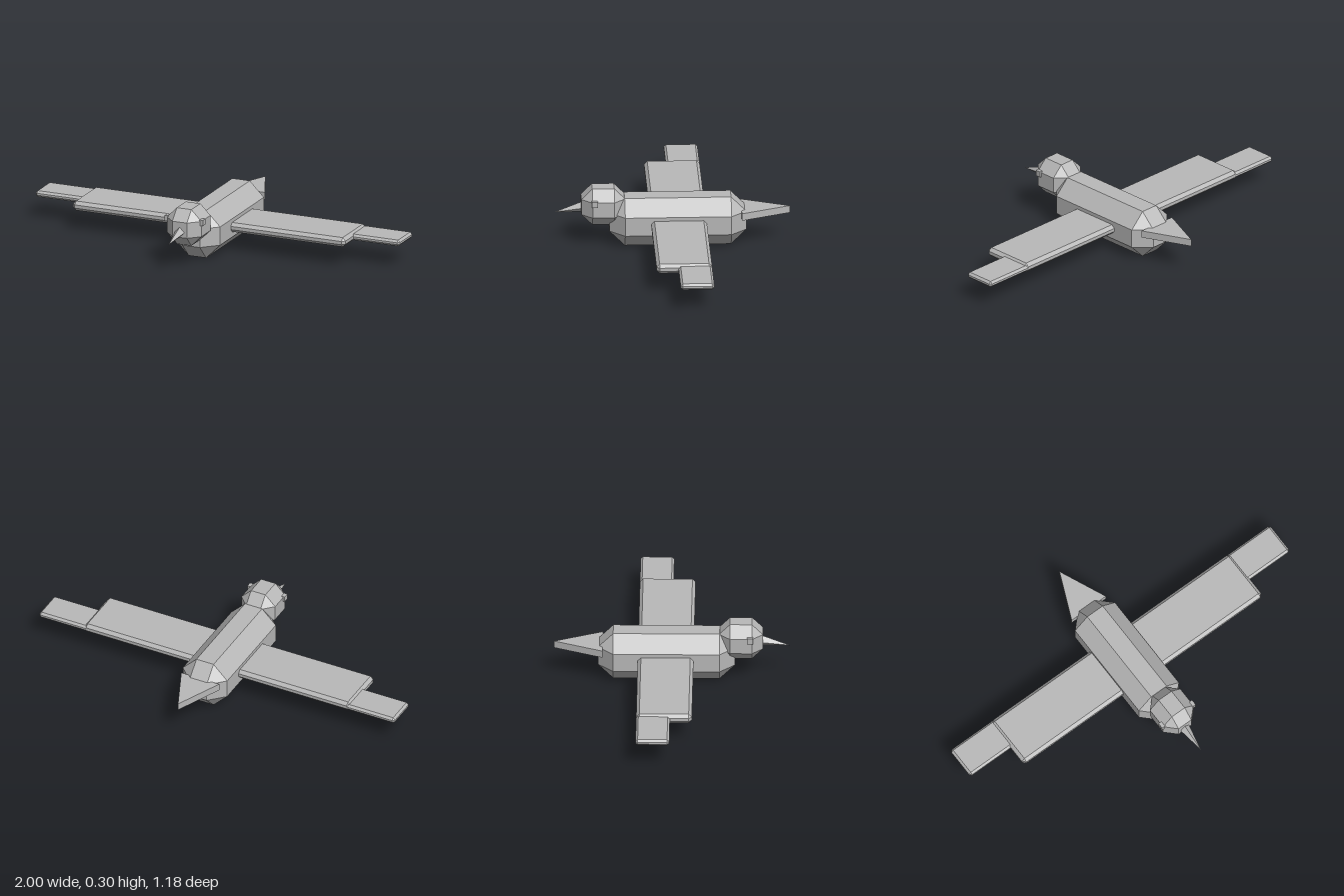
import * as THREE from 'three';
import { ConvexGeometry } from 'three/addons/geometries/ConvexGeometry.js';

// Box from min to max corner with every edge cut by one flat bevel
function bevelBox(min, max, bevel) {
  const c = min.map((v, i) => (v + max[i]) / 2);
  const h = max.map((v, i) => (v - min[i]) / 2);
  const points = [];
  for (const sx of [-1, 1]) for (const sy of [-1, 1]) for (const sz of [-1, 1]) {
    const s = [sx, sy, sz];
    for (let axis = 0; axis < 3; axis++) {
      points.push(new THREE.Vector3(...s.map((sign, i) =>
        c[i] + sign * (h[i] - (i === axis ? 0 : bevel)))));
    }
  }
  return new ConvexGeometry(points);
}

export function createModel() {
  const model = new THREE.Group();
  model.name = 'bird';
  const grey = new THREE.MeshStandardMaterial({ color: 0xb8b8b8, flatShading: true });
  grey.name = 'plain grey';

  const add = (name, geometry) => {
    const mesh = new THREE.Mesh(geometry, grey);
    mesh.name = name;
    model.add(mesh);
    return mesh;
  };

  add('body', bevelBox([-0.125, 0, -0.372], [0.125, 0.25, 0.315], 0.077));
  add('head', bevelBox([-0.095, 0.11, 0.235], [0.095, 0.3, 0.455], 0.055));

  // Four-sided beak with its tip dropped
  const beak = new THREE.ConeGeometry(0.029, 0.15, 4);
  beak.rotateX(Math.PI / 2);
  beak.translate(0, 0.195, 0.515);
  const p = beak.attributes.position;
  for (let i = 0; i < p.count; i++) {
    p.setY(i, p.getY(i) - 0.03 * (p.getZ(i) - 0.44) / 0.15);
  }
  add('beak', beak);

  // Flat triangular tail
  const fan = new THREE.Shape([
    new THREE.Vector2(-0.107, 0.347),
    new THREE.Vector2(0.107, 0.347),
    new THREE.Vector2(0, 0.592),
  ]);
  const tail = new THREE.ExtrudeGeometry(fan, { depth: 0.037, bevelEnabled: false });
  tail.rotateX(-Math.PI / 2);
  tail.translate(0, 0.144, 0);
  add('tail', tail);

  // Mirrored eyes and two-step wings
  for (const [side, s] of [['left', 1], ['right', -1]]) {
    const span = (a, b) => (s > 0 ? [a, b] : [-b, -a]);
    const eye = add(side + 'Eye', new THREE.BoxGeometry(0.03, 0.03, 0.03));
    eye.position.set(s * 0.09, 0.238, 0.39);

    const [i0, i1] = span(0.04, 0.748);
    add(side + 'InnerWing', bevelBox([i0, 0.105, -0.171], [i1, 0.154, 0.108], 0.016));
    const [o0, o1] = span(0.65, 1);
    add(side + 'OuterWing', bevelBox([o0, 0.112, -0.171], [o1, 0.144, -0.002], 0.011));
  }
  return model;
}
